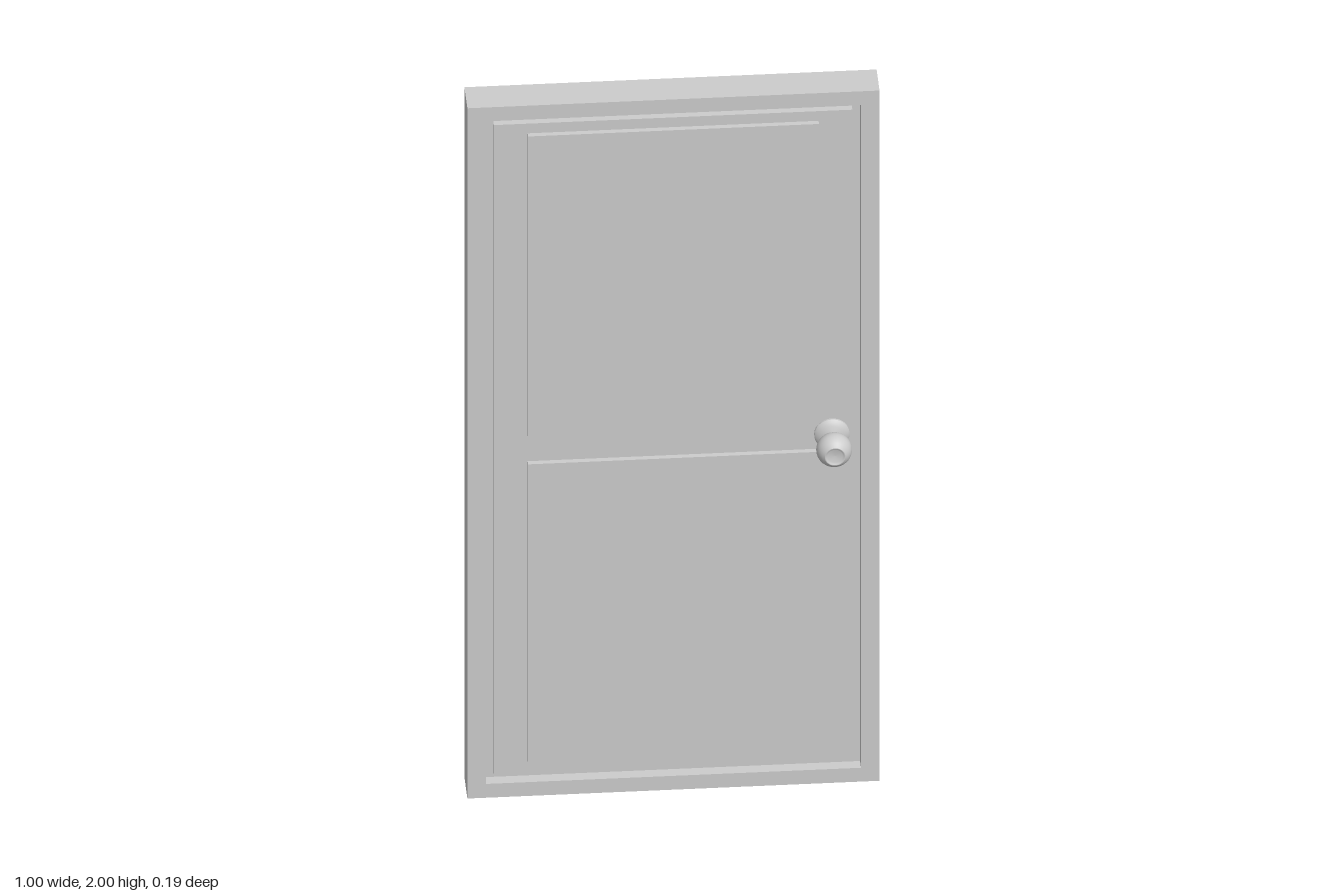
import * as THREE from 'three';

const material = new THREE.MeshStandardMaterial({ color: 0xcccccc });

export function createModel() {
  const model = new THREE.Group();

  const add = (name, geometry, x = 0, y = 0, z = 0, parent = model) => {
    const mesh = new THREE.Mesh(geometry, material);
    mesh.name = name;
    mesh.position.set(x, y, z);
    parent.add(mesh);
    return mesh;
  };

  // Box given by its centre, size and z range
  const slab = (name, x, y, w, h, z0, z1) =>
    add(name, new THREE.BoxGeometry(w, h, z1 - z0), x, y, (z0 + z1) / 2);

  const rect = (Type, w, h) => new Type([
    new THREE.Vector2(-w / 2, -h / 2), new THREE.Vector2(w / 2, -h / 2),
    new THREE.Vector2(w / 2, h / 2), new THREE.Vector2(-w / 2, h / 2),
  ]);

  const back = -0.093, grooveFloor = -0.03, leafFront = -0.012, panelFront = 0.002;

  // Surround with a rectangular opening
  const surround = rect(THREE.Shape, 1, 2);
  surround.holes.push(rect(THREE.Path, 0.91, 1.92));
  add('frame', new THREE.ExtrudeGeometry(surround, { depth: -back, bevelEnabled: false }), 0, 1, back);

  // Backing closes the opening and forms the floor of the groove
  slab('backing', 0, 1, 0.91, 1.92, back, grooveFloor);

  // Door leaf, with a narrow gap to the frame
  slab('doorLeaf', 0, 1, 0.87, 1.88, grooveFloor, leafFront);

  // Two raised panels
  slab('upperPanel', 0, 1.475, 0.706, 0.874, leafFront, panelFront);
  slab('lowerPanel', 0, 0.528, 0.706, 0.868, leafFront, panelFront);

  // Turned knob: each part is a profile of [radius, z], turned to face the front
  const knob = new THREE.Group();
  knob.name = 'doorKnob';
  knob.position.set(0.385, 1.005, 0);
  knob.rotation.x = Math.PI / 2;
  model.add(knob);

  const turned = (name, points) => add(name,
    new THREE.LatheGeometry(points.map(([r, z]) => new THREE.Vector2(r, z)), 32), 0, 0, 0, knob);

  turned('rosetteRim', [[0.043, leafFront], [0.043, -0.007]]);
  turned('rosette', [[0.043, -0.007], [0.038, -0.002], [0.029, 0.003], [0.017, 0.007]]);
  turned('neck', [[0.017, 0], [0.017, 0.028]]);

  // Ball with its front cut flat
  const ball = [];
  for (let i = 0; i <= 14; i++) {
    const a = THREE.MathUtils.lerp(-1.17, 0.96, i / 14);
    ball.push([0.0435 * Math.cos(a), 0.06 + 0.04 * Math.sin(a)]);
  }
  turned('knobBall', ball);
  turned('knobFace', [[0.025, 0.0928], [0.022, 0.093], [0.018, 0.089], [0, 0.088]]);

  return model;
}
